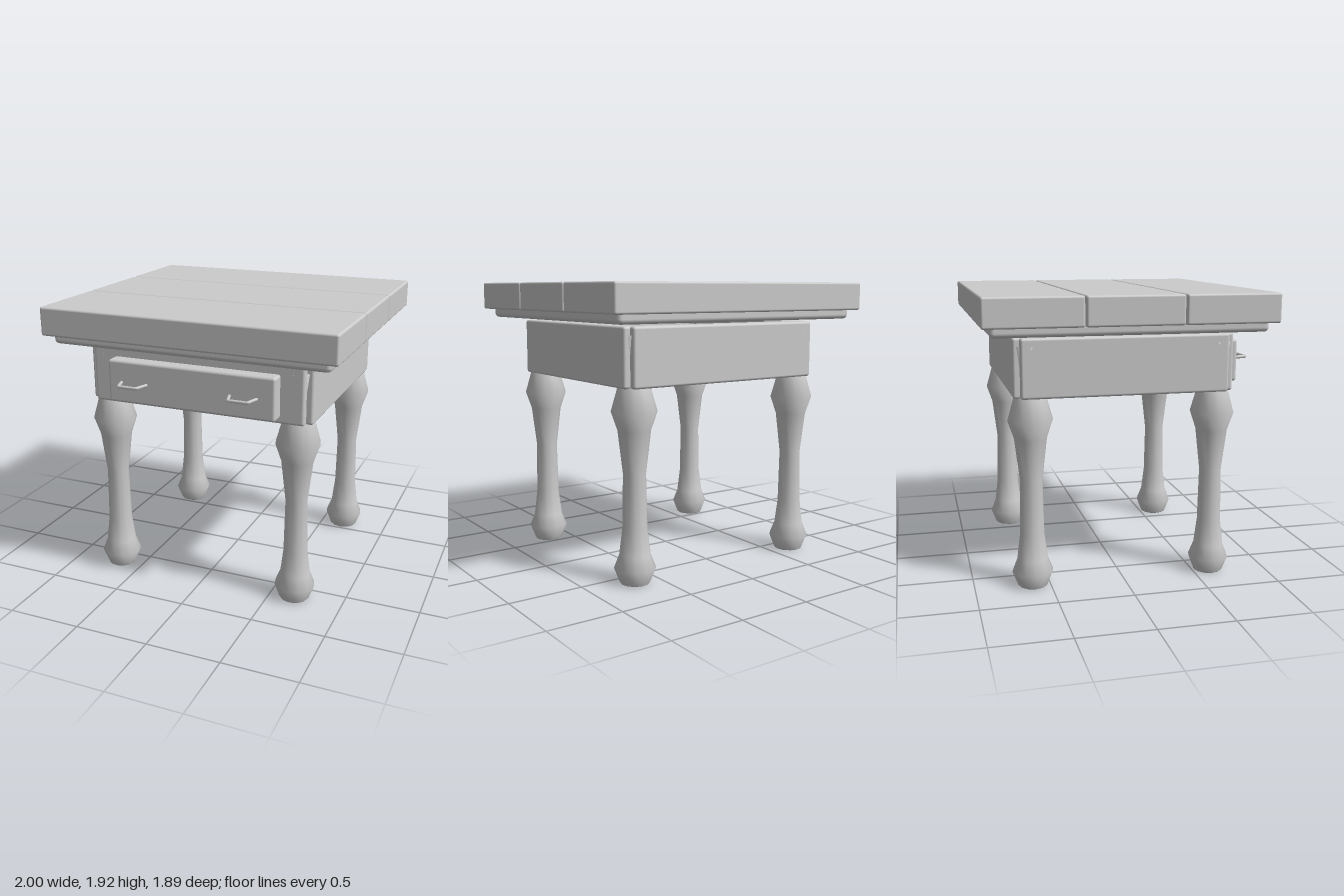
import * as THREE from 'three';
import { RoundedBoxGeometry } from 'three/addons/geometries/RoundedBoxGeometry.js';

export function createModel() {
  const table = new THREE.Group();
  table.name = 'sideTable';
  const grey = new THREE.MeshStandardMaterial({ color: 0xcccccc });

  const add = (name, geometry, x = 0, y = 0, z = 0, parent = table) => {
    const mesh = new THREE.Mesh(geometry, grey);
    mesh.name = name;
    mesh.position.set(x, y, z);
    parent.add(mesh);
    return mesh;
  };
  // Rounded board given by its limits on each axis
  const board = (name, [x0, x1], [y0, y1], [z0, z1], radius) =>
    add(name, new RoundedBoxGeometry(x1 - x0, y1 - y0, z1 - z0, 3, radius),
      (x0 + x1) / 2, (y0 + y1) / 2, (z0 + z1) / 2);

  // Top: three planks on a supporting panel
  for (const z of [-0.63, 0, 0.63]) {
    board('topPlank', [-1, 1], [1.735, 1.925], [z - 0.311, z + 0.311], 0.015);
  }
  board('topSupport', [-0.943, 0.943], [1.675, 1.82], [-0.888, 0.888], 0.03);

  // Apron: four thick boards leaving a small notch at each corner
  const apronY = [1.27, 1.655];
  board('frontApron', [-0.738, 0.738], apronY, [0.58, 0.73], 0.018);
  board('backApron', [-0.738, 0.738], apronY, [-0.73, -0.58], 0.018);
  board('leftApron', [0.633, 0.783], apronY, [-0.685, 0.685], 0.018);
  board('rightApron', [-0.783, -0.633], apronY, [-0.685, 0.685], 0.018);

  // Drawer front
  board('drawerFront', [-0.582, 0.58], [1.305, 1.59], [0.66, 0.82], 0.018);

  // Drawer handles: bars with splayed arms and rounded ends
  const points = [[-0.09, 0.845], [-0.064, 0.934], [0.064, 0.934], [0.09, 0.845]]
    .map(([x, z]) => new THREE.Vector3(x, 0, z));
  const path = new THREE.CurvePath();
  for (let i = 0; i < 3; i++) path.add(new THREE.LineCurve3(points[i], points[i + 1]));
  for (const x of [-0.382, 0.378]) {
    const handle = new THREE.Group();
    handle.name = 'drawerHandle';
    handle.position.set(x, 1.452, 0);
    add('handleBar', new THREE.TubeGeometry(path, 30, 0.011, 8), 0, 0, 0, handle);
    for (const p of [points[0], points[3]]) {
      add('handleEnd', new THREE.SphereGeometry(0.011, 8, 6), p.x, p.y, p.z, handle);
    }
    table.add(handle);
  }

  // Turned legs, flaring again where they sit inside the apron
  const profile = [
    [0, 0], [0.095, 0], [0.1, 0.005], [0.137, 0.1], [0.102, 0.19], [0.081, 0.36], [0.074, 0.72],
    [0.107, 1.0], [0.148, 1.12], [0.107, 1.265], [0.09, 1.33], [0.117, 1.6], [0, 1.6],
  ].map(([r, y]) => new THREE.Vector2(r, y));
  const legGeometry = new THREE.LatheGeometry(profile, 12);
  for (const x of [-0.668, 0.666]) {
    for (const z of [-0.614, 0.614]) {
      add(z > 0 ? 'frontLeg' : 'backLeg', legGeometry, x, 0, z);
    }
  }

  return table;
}
